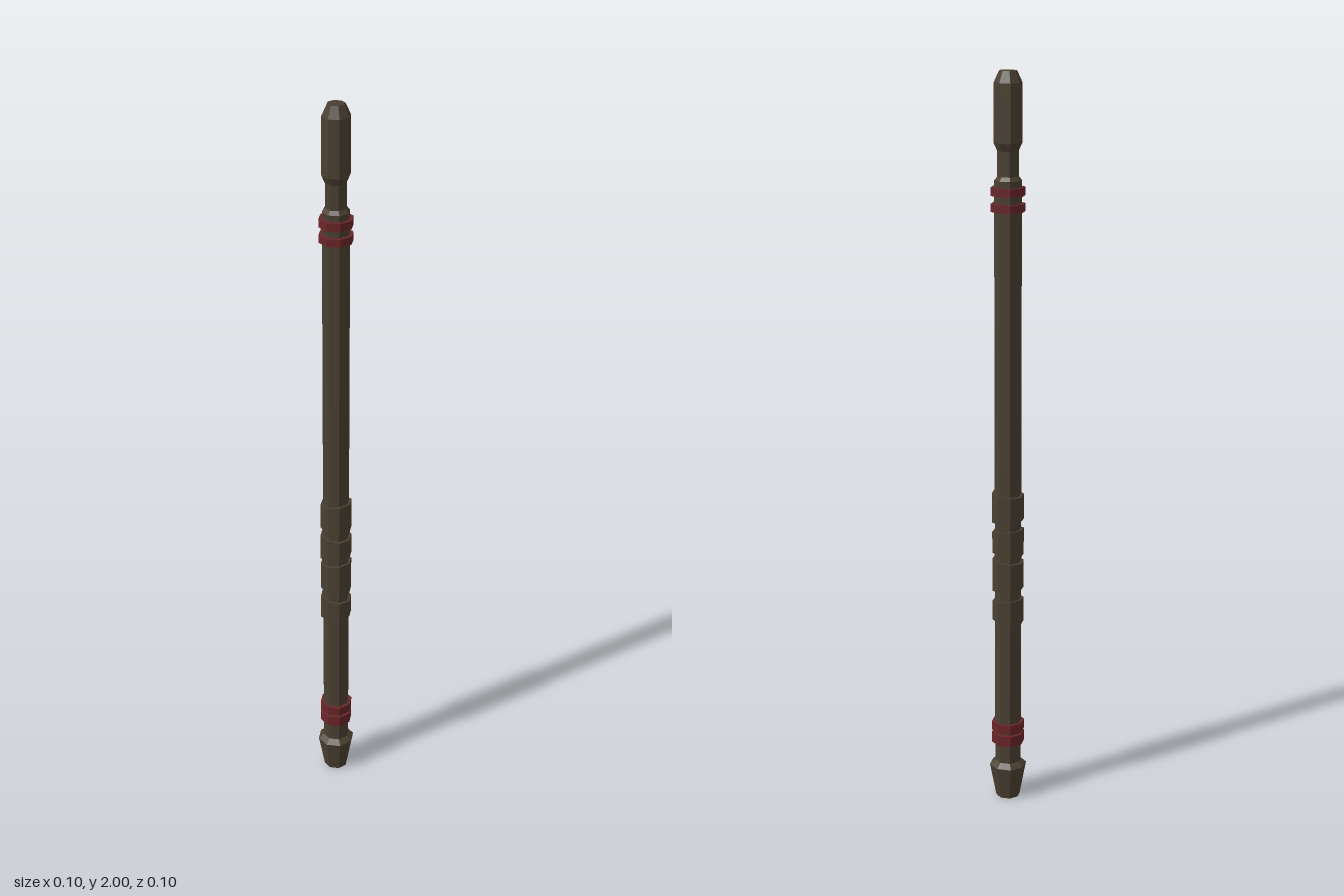
import * as THREE from 'three';

const SIDES = 8;

export function createModel() {
  const model = new THREE.Group();
  model.name = 'staff';

  const wood = new THREE.MeshStandardMaterial({ color: 0x4a4032, flatShading: true });
  wood.name = 'darkWood';
  const red = new THREE.MeshStandardMaterial({ color: 0x6a2529, flatShading: true });
  red.name = 'darkRed';

  const add = (name, geometry, material) => {
    const mesh = new THREE.Mesh(geometry, material);
    mesh.name = name;
    model.add(mesh);
  };

  // Octagonal part turned from [radius, height] pairs
  const turned = (name, profile, material) =>
    add(name, new THREE.LatheGeometry(profile.map(([r, y]) => new THREE.Vector2(r, y)), SIDES), material);

  // Octagonal ring; the slopes tilt its upper and lower rims along x
  const band = (name, radius, low, high, material, lowSlope = 0, highSlope = 0) => {
    const geometry = new THREE.CylinderGeometry(radius, radius, high - low, SIDES);
    geometry.translate(0, (low + high) / 2, 0);
    const p = geometry.attributes.position;
    for (let i = 0; i < p.count; i++) {
      const slope = p.getY(i) > (low + high) / 2 ? highSlope : lowSlope;
      p.setY(i, p.getY(i) + p.getX(i) * slope);
    }
    add(name, geometry, material);
  };

  // Flared foot with a bevelled top
  turned('foot', [[0, 0], [0.033, 0], [0.051, 0.095], [0.036, 0.108], [0, 0.108]], wood);

  // Shaft, narrow neck and bevelled head
  turned('shaft', [[0.036, 0.1], [0.036, 1.725], [0.028, 1.735], [0.028, 1.8]], wood);
  turned('head', [[0.028, 1.8], [0.037, 1.82], [0.037, 1.97], [0.023, 2], [0, 2]], wood);

  // Slanted grip wraps
  [[0.81, 0.888], [0.718, 0.785], [0.615, 0.7], [0.525, 0.586]].forEach(([low, high], i) => {
    const slope = i % 2 ? -0.12 : 0.12;
    band('gripWrap' + (i + 1), 0.043, low, high, wood, -slope, slope);
  });

  // Red rings near both ends
  [[0.163, 0.193], [0.2, 0.226], [1.645, 1.666], [1.686, 1.708]].forEach(([low, high], i) =>
    band('ring' + (i + 1), 0.045, low, high, red));

  return model;
}
